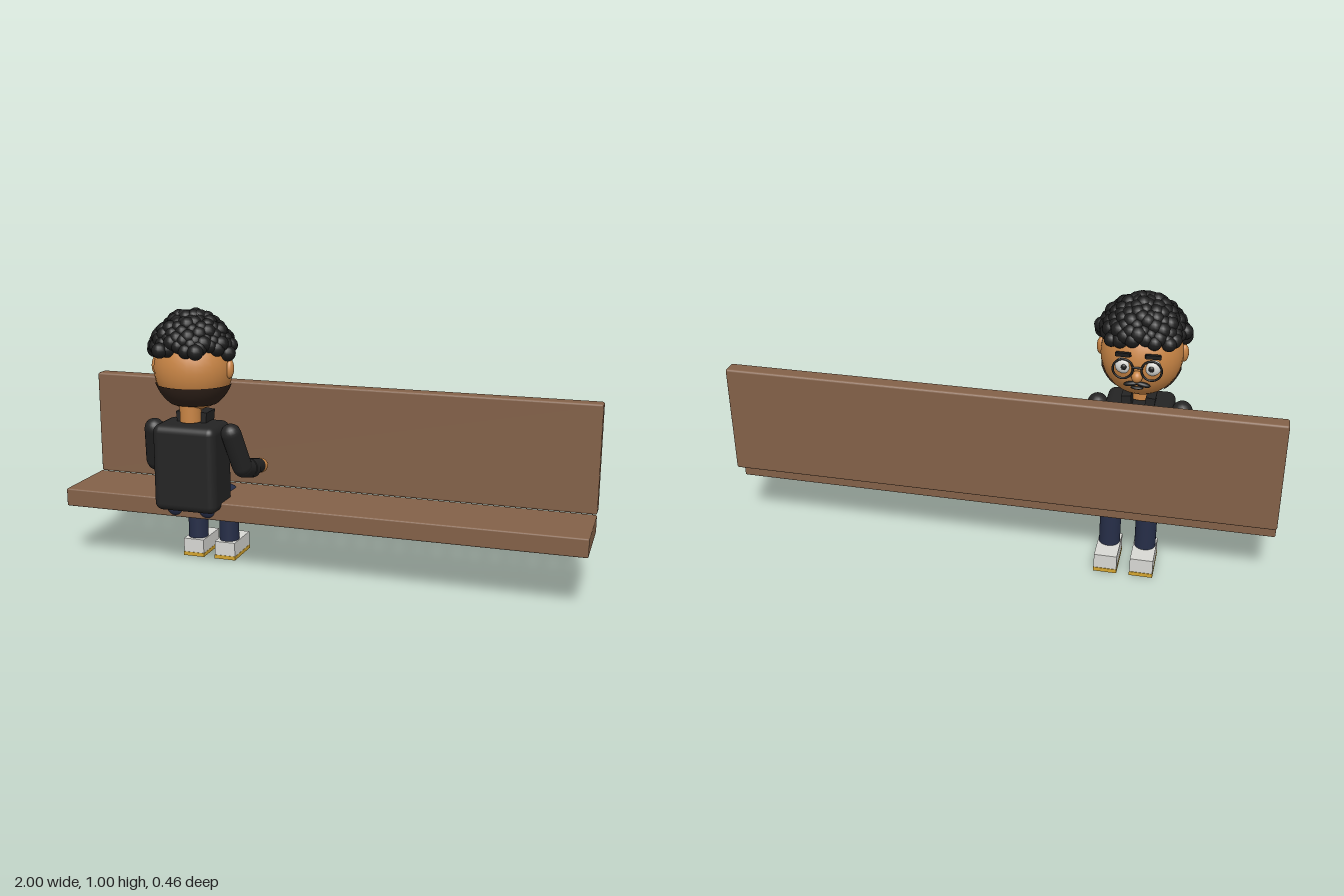
import * as THREE from 'three';
import { RoundedBoxGeometry } from 'three/addons/geometries/RoundedBoxGeometry.js';

const mat = (name, color, side = THREE.FrontSide) => {
  const m = new THREE.MeshStandardMaterial({ color, side });
  m.name = name;
  return m;
};

export function createModel() {
  const wood = mat('wood', 0x836148);
  const skin = mat('skin', 0xc98545);
  const jacket = mat('jacket', 0x242424);
  const hair = mat('hair', 0x1c1c1c);
  const beardMat = mat('beard', 0x30221a, THREE.DoubleSide);
  const denim = mat('denim', 0x262e48);
  const white = mat('white', 0xd8d8d4);
  const gold = mat('gold', 0xd4a530);

  const model = new THREE.Group();
  const person = new THREE.Group();
  person.name = 'person';
  person.position.x = -0.473;

  const add = (parent, name, geo, material, x = 0, y = 0, z = 0) => {
    const m = new THREE.Mesh(geo, material);
    m.name = name;
    m.position.set(x, y, z);
    parent.add(m);
    return m;
  };
  const ball = (name, material, r, x, y, z) => {
    const m = add(person, name, new THREE.SphereGeometry(1, 28, 20), material, x, y, z);
    m.scale.set(...r);
    return m;
  };
  // Round-ended limb between two points
  const limb = (name, material, r, a, b) => {
    const p = new THREE.Vector3(...a), q = new THREE.Vector3(...b);
    const d = q.clone().sub(p);
    const m = add(person, name, new THREE.CapsuleGeometry(r, d.length(), 6, 20), material);
    m.position.copy(p).add(q).multiplyScalar(0.5);
    m.quaternion.setFromUnitVectors(new THREE.Vector3(0, 1, 0), d.normalize());
    return m;
  };

  // Bench
  const bench = new THREE.Group();
  bench.name = 'bench';
  add(bench, 'seat', new RoundedBoxGeometry(2, 0.07, 0.29, 2, 0.006), wood, 0, 0.248, -0.025);
  add(bench, 'backrest', new RoundedBoxGeometry(2, 0.41, 0.058, 2, 0.008), wood, 0, 0.485, -0.201);

  // Torso, neck and jacket front
  add(person, 'torso', new RoundedBoxGeometry(0.25, 0.33, 0.18, 4, 0.03), jacket, 0, 0.415, 0.092);
  add(person, 'neck', new THREE.CylinderGeometry(0.04, 0.04, 0.1, 24), skin, 0, 0.635, 0.097);
  add(person, 'shirtPanel', new THREE.BoxGeometry(0.05, 0.27, 0.008), denim, 0, 0.448, 0);

  for (const s of [-1, 1]) {
    const flap = add(person, 'collar', new THREE.BoxGeometry(0.035, 0.05, 0.08), jacket, s * 0.042, 0.595, 0.052);
    flap.rotation.z = s * -0.1;

    // Arms
    limb('upperArm', jacket, 0.038, [s * 0.155, 0.545, 0.085], [s * 0.177, 0.41, 0.035]);
    limb('forearm', jacket, 0.037, [s * 0.178, 0.402, 0.028], [s * 0.184, 0.382, -0.045]);
    const cuff = add(person, 'sleeveEnd', new THREE.CylinderGeometry(0.029, 0.037, 0.11, 20), jacket, s * 0.184, 0.383, -0.066);
    cuff.rotation.x = -Math.PI / 2 - 0.17;
    const hand = ball('hand', skin, [0.03, 0.029, 0.036], s * 0.184, 0.37, -0.137);
    hand.rotation.x = -0.15;

    // Legs and shoes
    const x = s * 0.066;
    limb('thigh', denim, 0.041, [x, 0.252, 0.095], [x, 0.257, -0.09]);
    add(person, 'shin', new THREE.CylinderGeometry(0.039, 0.039, 0.19, 24), denim, x, 0.16, -0.096);
    add(person, 'shoe', new THREE.BoxGeometry(0.084, 0.055, 0.158), white, x, 0.0425, -0.124);
    add(person, 'sole', new THREE.BoxGeometry(0.086, 0.015, 0.162), gold, x, 0.0075, -0.124);

    // Face
    const ear = ball('ear', skin, [0.016, 0.035, 0.019], s * 0.148, 0.785, 0.068);
    ear.rotation.x = -0.15;
    ball('eye', white, [0.031, 0.03, 0.018], s * 0.05, 0.778, -0.064);
    ball('pupil', hair, [0.01, 0.011, 0.006], s * 0.048, 0.778, -0.08);
    const rim = add(person, 'glassesRim', new THREE.TorusGeometry(0.035, 0.004, 8, 32), hair, s * 0.05, 0.775, -0.087);
    rim.rotation.x = 0.08;
    const brow = add(person, 'eyebrow', new THREE.BoxGeometry(0.055, 0.014, 0.014), hair, s * 0.052, 0.826, -0.08);
    brow.rotation.set(0, s * -0.3, s * -0.12);
    const tache = ball('moustache', hair, [0.028, 0.009, 0.011], s * 0.02, 0.712, -0.068);
    tache.rotation.z = s * -0.2;
  }
  const bridge = add(person, 'glassesBridge', new THREE.CylinderGeometry(0.004, 0.004, 0.034, 8), hair, 0, 0.782, -0.087);
  bridge.rotation.z = Math.PI / 2;

  // Head, nose, mouth
  ball('head', skin, [0.148, 0.157, 0.14], 0, 0.78, 0.06);
  ball('nose', skin, [0.02, 0.022, 0.022], 0, 0.745, -0.078);
  ball('mouth', hair, [0.022, 0.006, 0.01], 0, 0.692, -0.057);

  // Beard shell wrapping the jaw from ear to ear
  const deg = Math.PI / 180;
  const beard = add(person, 'beard',
    new THREE.SphereGeometry(1, 40, 10, 70 * deg, 220 * deg, 110 * deg, 34 * deg), beardMat, 0, 0.78, 0.06);
  beard.scale.set(0.152, 0.161, 0.144);
  beard.rotation.y = -Math.PI / 2;
  beard.scale.set(0.144, 0.161, 0.152);

  // Curly hair: balls spread evenly over a cap
  let seed = 7;
  const rand = () => (seed = (seed * 16807) % 2147483647) / 2147483647;
  const curls = new THREE.Group();
  curls.name = 'hair';
  const curl = new THREE.SphereGeometry(1, 14, 10);
  const addCurl = (x, y, z, r) => add(curls, 'curl', curl, hair, x, y, z).scale.setScalar(r);
  const n = 125;
  for (let i = 0; i < n; i++) {
    const h = 1 - 0.66 * (i + 0.5) / n + (rand() - 0.5) * 0.05;
    const c = Math.sqrt(Math.max(0, 1 - h * h));
    const a = i * 2.39996;
    const k = 0.97 + rand() * 0.06;
    addCurl(0.148 * k * c * Math.cos(a), 0.8 + 0.172 * k * h, 0.062 + 0.136 * k * c * Math.sin(a), 0.025 + rand() * 0.006);
  }
  // Loose locks at the temples, nape and brow
  for (const s of [-1, 1]) {
    addCurl(s * 0.145, 0.845, 0.078, 0.03);
    addCurl(s * 0.147, 0.872, 0.055, 0.028);
    addCurl(s * 0.1, 0.86, -0.04, 0.026);
    addCurl(s * 0.07, 0.862, 0.198, 0.029);
  }
  person.add(curls);

  model.add(bench, person);
  return model;
}
